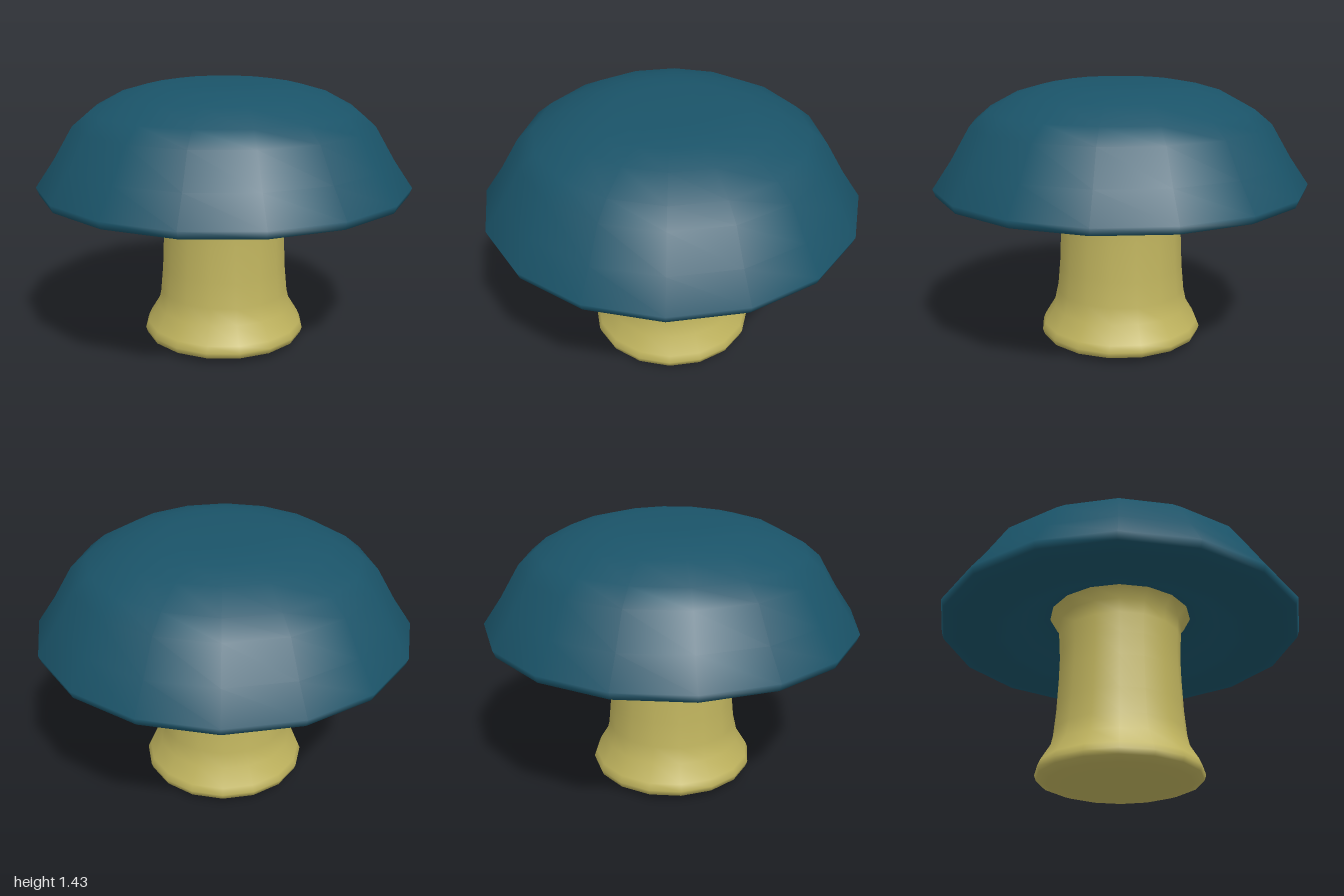
import * as THREE from 'three';

const SIDES = 16;

// Turns a [radius, height] profile into a smooth 16-sided part.
function turned(name, profile, color) {
  const points = profile.map(([r, y]) => new THREE.Vector2(r, y));
  const mesh = new THREE.Mesh(
    new THREE.LatheGeometry(points, SIDES),
    new THREE.MeshStandardMaterial({ color })
  );
  mesh.name = name;
  return mesh;
}

export function createModel() {
  const group = new THREE.Group();
  group.name = 'mushroom';

  // Stem: flat rounded foot, slim waist, flaring into the hollow of the cap
  group.add(turned('stem', [
    [0, 0], [0.27, 0.003], [0.38, 0.015], [0.435, 0.035], [0.445, 0.065],
    [0.43, 0.1], [0.375, 0.19], [0.355, 0.28], [0.342, 0.42], [0.334, 0.6],
    [0.332, 0.73], [0.338, 0.84], [0.345, 0.92], [0.4, 0.98]
  ], 0xc0b45e));

  // Cap: hollow underside, flat rim, flared skirt and domed top
  group.add(turned('cap', [
    [0.34, 0.98], [0.42, 0.97], [0.54, 0.92], [0.63, 0.845], [0.7, 0.84],
    [0.91, 0.84], [0.985, 0.855], [1, 0.895], [0.9, 1.04], [0.8, 1.21],
    [0.71, 1.285], [0.56, 1.365], [0.42, 1.405], [0.3, 1.425], [0.15, 1.43], [0, 1.43]
  ], 0x1a5368));

  return group;
}
